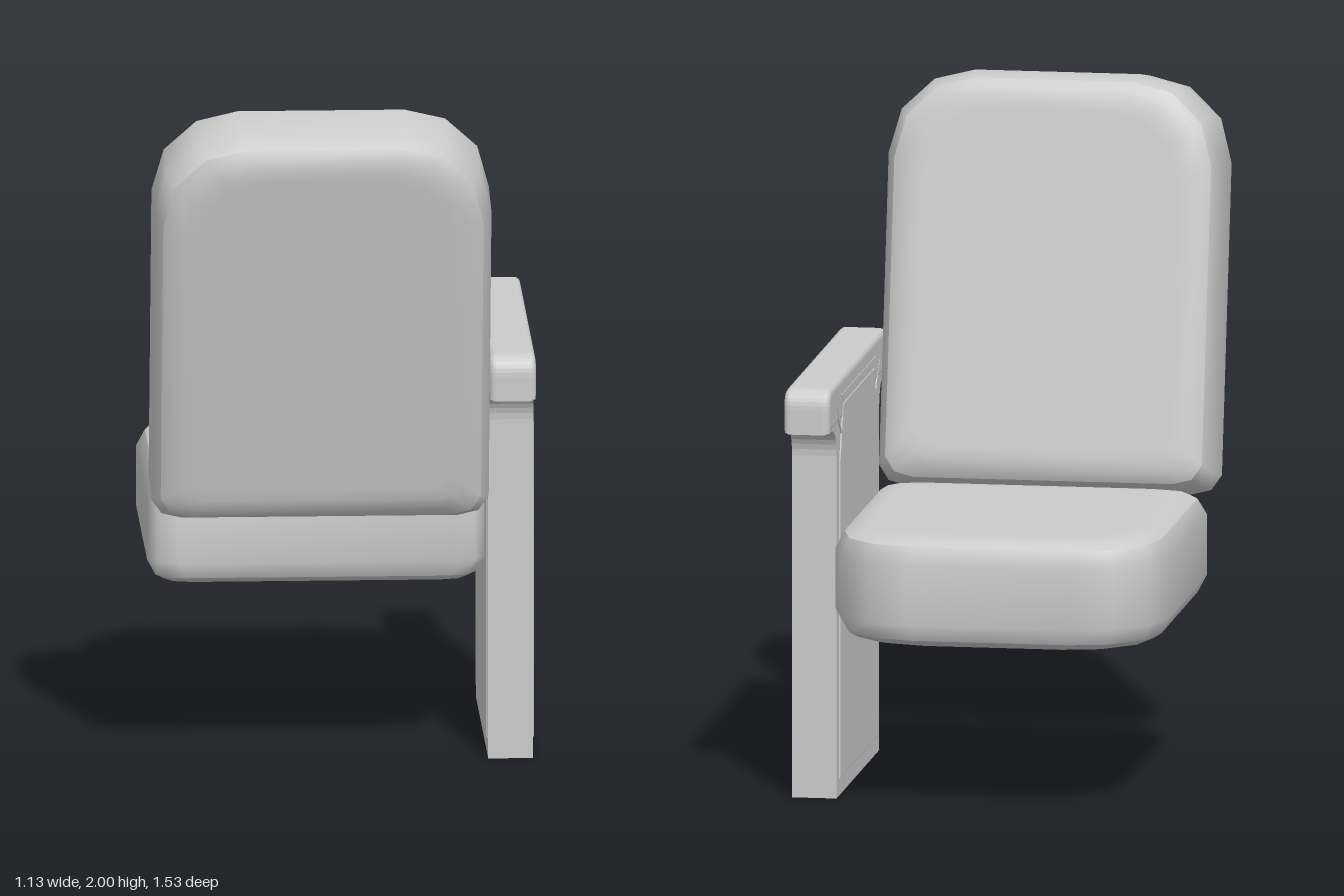
import * as THREE from 'three';

const material = new THREE.MeshStandardMaterial({ color: 0xcccccc, side: THREE.DoubleSide });

function addMesh(parent, geometry, name) {
  const mesh = new THREE.Mesh(geometry, material);
  mesh.name = name;
  parent.add(mesh);
  return mesh;
}

// Skins a stack of closed rings, optionally closing the last one with a centre point
function loft(rings, closeAt) {
  const n = rings[0].length;
  const positions = rings.flat(2);
  const index = [];
  for (let r = 0; r < rings.length - 1; r++) {
    for (let i = 0; i < n; i++) {
      const j = (i + 1) % n;
      const a = r * n + i, b = r * n + j, c = a + n, d = b + n;
      index.push(a, b, d, a, d, c);
    }
  }
  if (closeAt !== undefined) {
    positions.push(0, 0, closeAt);
    const base = (rings.length - 1) * n;
    for (let i = 0; i < n; i++) index.push(base + i, base + (i + 1) % n, rings.length * n);
  }
  if (closeAt < 0) index.reverse();
  const geometry = new THREE.BufferGeometry();
  geometry.setAttribute('position', new THREE.Float32BufferAttribute(positions, 3));
  geometry.setIndex(index);
  geometry.computeVertexNormals();
  return geometry;
}

// Padded cushion: big rounded corners at +y, small ones at -y, thickness along z
function cushion(name, length) {
  const hw = 0.495, hh = length / 2;
  const half = [
    [hw - 0.09, -hh], [hw - 0.03, -hh + 0.015], [hw, -hh + 0.06],
    [hw, hh - 0.25], [hw - 0.035, hh - 0.12], [hw - 0.13, hh - 0.03], [hw - 0.25, hh],
  ];
  const outline = [...half, ...half.map(([x, y]) => [-x, y]).reverse()];
  const ring = (inset, z) => outline.map(([x, y]) => [x * (1 - inset / hw), y * (1 - inset / hh), z]);
  const group = new THREE.Group();
  group.name = name;
  addMesh(group, loft([ring(0.025, -0.14), ring(0, -0.09), ring(0, 0.09), ring(0.025, 0.14)]), name + 'Side');
  for (const s of [1, -1]) {
    const face = [ring(0.025, s * 0.14), ring(0.05, s * 0.157), ring(0.085, s * 0.165), ring(0.12, s * 0.165)];
    addMesh(group, loft(face, s * 0.165), name + (s > 0 ? 'FrontFace' : 'RearFace'));
  }
  return group;
}

// Extrudes a side profile (z, y) across x, centred on the arm panel
function sideExtrude(shape, width, bevel = 0) {
  const geometry = new THREE.ExtrudeGeometry(shape, {
    depth: width - 2 * bevel, bevelEnabled: bevel > 0, bevelSize: bevel,
    bevelThickness: bevel, bevelOffset: -bevel, bevelSegments: 4, curveSegments: 8,
  });
  geometry.translate(0, 0, bevel - width / 2);
  return geometry.rotateY(-Math.PI / 2);
}

const polygon = (points) => new THREE.Shape(points.map(([x, y]) => new THREE.Vector2(x, y)));

export function createModel() {
  const model = new THREE.Group();
  model.name = 'chair';

  // Seat, lying flat with its rounded end towards -z
  const seat = cushion('seat', 1.02);
  seat.rotation.x = -Math.PI / 2;
  seat.position.set(-0.075, 0.667, -0.26);
  model.add(seat);

  // Reclined backrest
  const backrest = cushion('backrest', 1.225);
  backrest.rotation.x = 0.2;
  backrest.position.set(-0.075, 1.382, 0.493);
  model.add(backrest);

  // Arm assembly: one side panel with a flared top
  const arm = new THREE.Group();
  arm.name = 'arm';
  arm.position.set(0.491, 0, -0.07);
  model.add(arm);

  const panel = new THREE.Shape();
  panel.moveTo(-0.4, 0);
  panel.lineTo(0.4, 0);
  panel.lineTo(0.4, 1.02);
  panel.quadraticCurveTo(0.405, 1.1, 0.49, 1.11);
  panel.lineTo(0.535, 1.11);
  panel.lineTo(0.535, 1.2);
  panel.lineTo(-0.535, 1.2);
  panel.lineTo(-0.535, 1.11);
  panel.lineTo(-0.49, 1.11);
  panel.quadraticCurveTo(-0.405, 1.1, -0.4, 1.02);
  addMesh(arm, sideExtrude(panel, 0.132), 'sidePanel');

  // Rounded armrest cap
  const cap = new THREE.Shape();
  cap.moveTo(-0.55, 1.108);
  cap.lineTo(0.55, 1.108);
  cap.lineTo(0.55, 1.18);
  cap.quadraticCurveTo(0.55, 1.24, 0.49, 1.24);
  cap.lineTo(-0.49, 1.24);
  cap.quadraticCurveTo(-0.55, 1.24, -0.55, 1.18);
  addMesh(arm, sideExtrude(cap, 0.136, 0.018), 'armrest');

  // Slightly raised field on both faces, with a tapered strip and corner ribs above
  const field = polygon([[-0.35, 0.05], [0.35, 0.05], [0.35, 1.0], [0.29, 1.16], [-0.29, 1.16], [-0.35, 1.0]]);
  addMesh(arm, sideExtrude(field, 0.14, 0.004), 'raisedField');
  const strip = polygon([[-0.28, 1.165], [0.28, 1.165], [0.33, 1.19], [-0.33, 1.19]]);
  addMesh(arm, sideExtrude(strip, 0.14), 'trimStrip');
  for (const s of [1, -1]) {
    const rib = polygon([[s * 0.4, 1.165], [s * 0.36, 1.11], [s * 0.305, 1.06], [s * 0.35, 1.125]]);
    addMesh(arm, sideExtrude(rib, 0.138), 'cornerRib');
  }

  return model;
}
